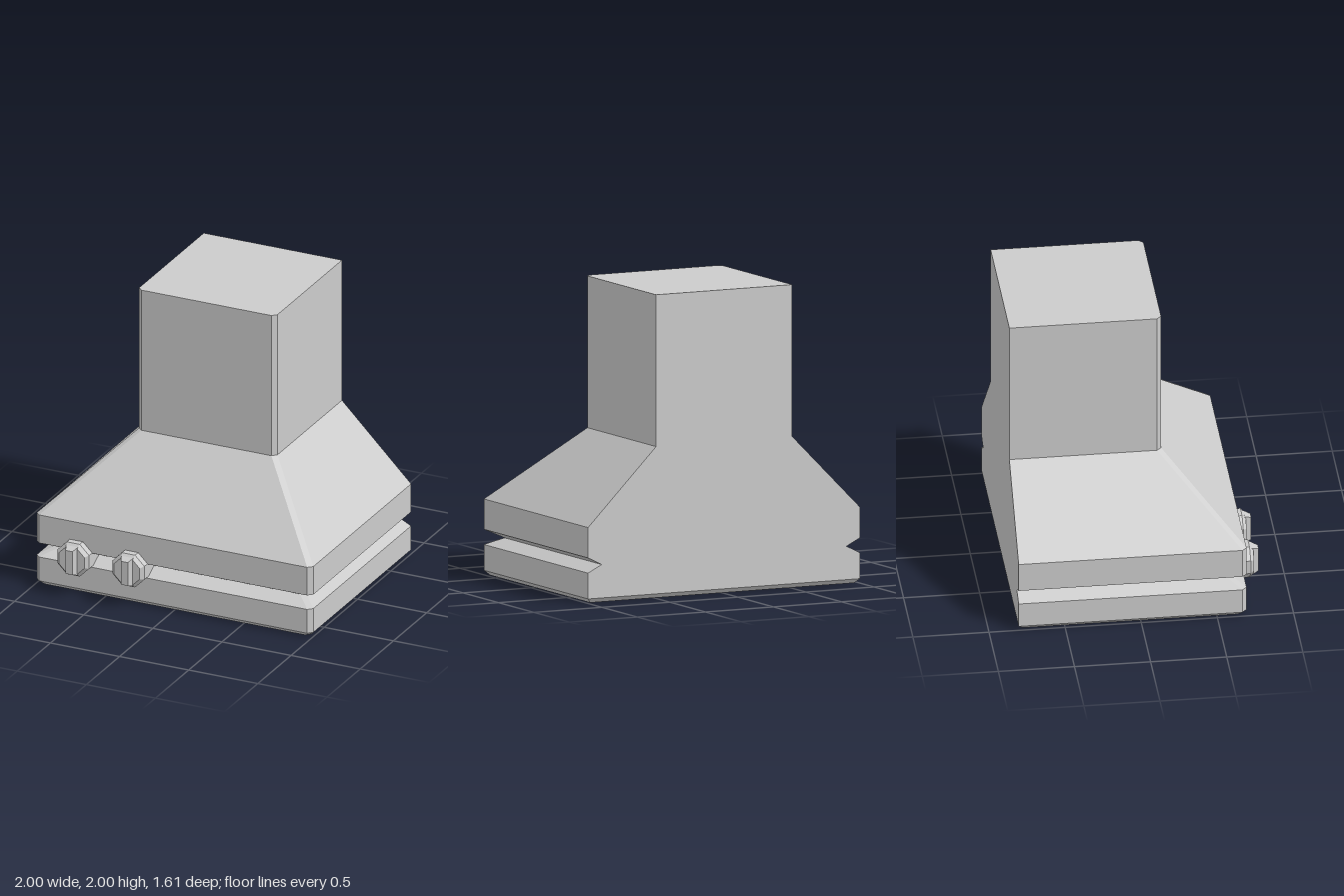
import * as THREE from 'three';

const material = new THREE.MeshStandardMaterial({ color: 0xcccccc, flatShading: true });

// Skin a stack of equal-length rings (counter-clockwise seen from +y) and cap both ends.
function loft(rings) {
  const pos = [];
  const tri = (a, b, c) => {
    const n = b.clone().sub(a).cross(c.clone().sub(a));
    if (n.length() > 1e-9) pos.push(...a.toArray(), ...b.toArray(), ...c.toArray());
  };
  const n = rings[0].length;
  for (let k = 0; k < rings.length - 1; k++) {
    const a = rings[k], b = rings[k + 1];
    for (let i = 0; i < n; i++) {
      const j = (i + 1) % n;
      tri(a[i], a[j], b[j]);
      tri(a[i], b[j], b[i]);
    }
  }
  const first = rings[0], last = rings[rings.length - 1];
  for (let i = 1; i < n - 1; i++) {
    tri(first[0], first[i + 1], first[i]);
    tri(last[0], last[i], last[i + 1]);
  }
  const geometry = new THREE.BufferGeometry();
  geometry.setAttribute('position', new THREE.Float32BufferAttribute(pos, 3));
  geometry.computeVertexNormals();
  return geometry;
}

// Rectangle with chamfered front corners
function hoodRing(y, half, front, back = -0.805, c = 0.03) {
  return [
    [-half + c, front], [half - c, front], [half, front - c],
    [half, back], [-half, back], [-half, front - c],
  ].map(([x, z]) => new THREE.Vector3(x, y, z));
}

function octagon(y, r) {
  return Array.from({ length: 8 }, (_, i) => {
    const a = (i + 0.5) * Math.PI / 4;
    return new THREE.Vector3(r * Math.cos(a), y, -r * Math.sin(a));
  });
}

function rectangle(y, w, d) {
  return [[-w, d], [w, d], [w, -d], [-w, -d]].map(([x, z]) => new THREE.Vector3(x, y, z));
}

function addMesh(parent, name, geometry) {
  const mesh = new THREE.Mesh(geometry, material);
  mesh.name = name;
  parent.add(mesh);
}

export function createModel() {
  const group = new THREE.Group();
  group.name = 'rangeHood';

  // Hood: recess in the underside, grooved skirt, sloped canopy, chimney
  addMesh(group, 'hoodAndChimney', loft([
    hoodRing(0.11, 0.8, 0.495, -0.605, 0),
    hoodRing(0, 0.8, 0.495, -0.605, 0),
    hoodRing(0, 0.97, 0.665, -0.775),
    hoodRing(0.03, 1, 0.695),
    hoodRing(0.2, 1, 0.695),
    hoodRing(0.25, 0.9, 0.595),
    hoodRing(0.3, 1, 0.695),
    hoodRing(0.5, 1, 0.695),
    hoodRing(1, 0.5, 0.195),
    hoodRing(2, 0.5, 0.195),
  ]));

  // Control knobs on the front, each a bevelled octagon with a grip
  for (const [name, x] of [['rightKnob', -0.7], ['centreKnob', -0.3]]) {
    const knob = new THREE.Group();
    knob.name = name;
    knob.position.set(x, 0.255, 0);
    addMesh(knob, 'knobBody', loft([
      octagon(0.6, 0.124), octagon(0.742, 0.124), octagon(0.767, 0.1),
    ]).rotateX(Math.PI / 2));
    addMesh(knob, 'knobGrip', loft([
      rectangle(0.76, 0.043, 0.1), rectangle(0.805, 0.025, 0.083),
    ]).rotateX(Math.PI / 2));
    group.add(knob);
  }
  return group;
}
